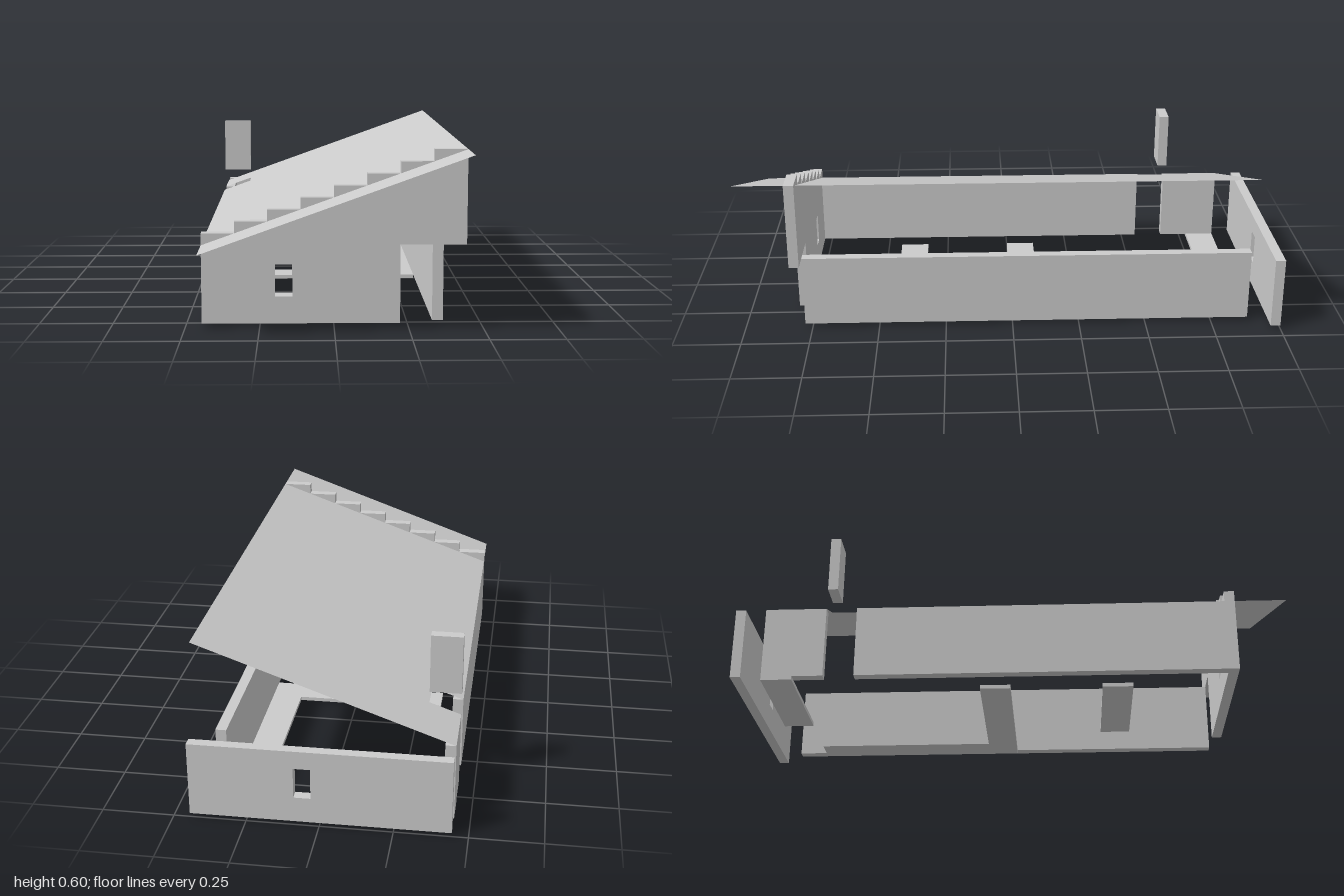
import * as THREE from 'three';

const U = 1 / 9;          // plan module
const T = U / 3;          // wall thickness
const H = 4 * U;          // half width
const BASE = 0.013;       // underside of the walls
const EAVE = 0.28;        // top of the plain walls
const RISE = 0.04;        // height of one gable step
const GAP = [-6 * U, -5 * U]; // chimney opening in z

const material = new THREE.MeshStandardMaterial({ color: 0xcccccc, flatShading: true });
const sheetMaterial = new THREE.MeshStandardMaterial({ color: 0xcccccc, side: THREE.DoubleSide });

function add(group, name, geometry, mat = material) {
  const mesh = new THREE.Mesh(geometry, mat);
  mesh.name = name;
  group.add(mesh);
  return mesh;
}

// Box given by its limits on each axis
function block(group, name, [x0, x1], [y0, y1], [z0, z1]) {
  const mesh = add(group, name, new THREE.BoxGeometry(x1 - x0, y1 - y0, z1 - z0));
  mesh.position.set((x0 + x1) / 2, (y0 + y1) / 2, (z0 + z1) / 2);
}

const toShape = (points) => new THREE.Shape(points.map(([x, y]) => new THREE.Vector2(x, y)));

// Upright panel with one window, extruded from z0 by the wall thickness
function panel(group, name, outline, windowX, z0) {
  const shape = toShape(outline);
  const x1 = windowX + 0.058, y0 = 0.105, y1 = 0.215;
  shape.holes.push(toShape([[windowX, y0], [windowX, y1], [x1, y1], [x1, y0]]));
  const geometry = new THREE.ExtrudeGeometry(shape, { depth: T, bevelEnabled: false });
  geometry.translate(0, 0, z0);
  add(group, name, geometry);
}

export function createModel() {
  const model = new THREE.Group();
  model.name = 'steppedGableHouse';

  // Front wall: doorway at the lower right, stepped gable on top
  const front = [[-H, BASE], [2 * U, BASE], [2 * U, EAVE], [H, EAVE]];
  for (let i = 7; i >= 0; i--) {
    const x = -H + i * U, y = EAVE + RISE * (i + 1);
    front.push([x + U, y], [x, y]);
  }
  panel(model, 'frontWall', front, -0.198, 7 * U);

  // Back wall, set apart from the side walls
  panel(model, 'backWall', [[-H, BASE], [H, BASE], [H, EAVE], [-H, EAVE]], 0.028, -1);

  // Side walls; the one under the eave is split at the chimney
  const wallY = [BASE, EAVE];
  block(model, 'tallSideWall', [3 * U, 3 * U + T], wallY, [-8 * U, 7 * U]);
  block(model, 'eaveSideWallLong', [-H, -H + T], wallY, [GAP[1], 7 * U]);
  block(model, 'eaveSideWallShort', [-H, -H + T], wallY, [-8 * U, GAP[0]]);

  // Chimney panel above the notch in the roof
  block(model, 'chimney', [-H, -3 * U], [0.36, 0.573], [GAP[0], GAP[0] + T]);

  // Single sloping roof sheet, notched for the chimney
  const roof = new THREE.ShapeGeometry(toShape([
    [-H, -1], [H, -1], [H, 8 * U], [-H, 8 * U],
    [-H, -GAP[0]], [-3 * U, -GAP[0]], [-3 * U, -GAP[1]], [-H, -GAP[1]],
  ]));
  roof.rotateX(-Math.PI / 2);
  const p = roof.attributes.position;
  for (let i = 0; i < p.count; i++) p.setY(i, EAVE + (RISE / U) * (p.getX(i) + H));
  roof.computeVertexNormals();
  add(model, 'roof', roof, sheetMaterial);

  // Flat floor strips
  const floorY = [0, 0.014];
  block(model, 'floorStripFront', [-3 * U, U], floorY, [3 * U, 4 * U]);
  block(model, 'floorStripBack', [-H, 0], floorY, [-8 * U, -7 * U]);
  block(model, 'floorStripSide', [2 * U, 3 * U], floorY, [-7 * U, 0]);
  block(model, 'floorStripMiddle', [-3 * U, 2 * U], floorY, [-U, 0]);

  return model;
}
